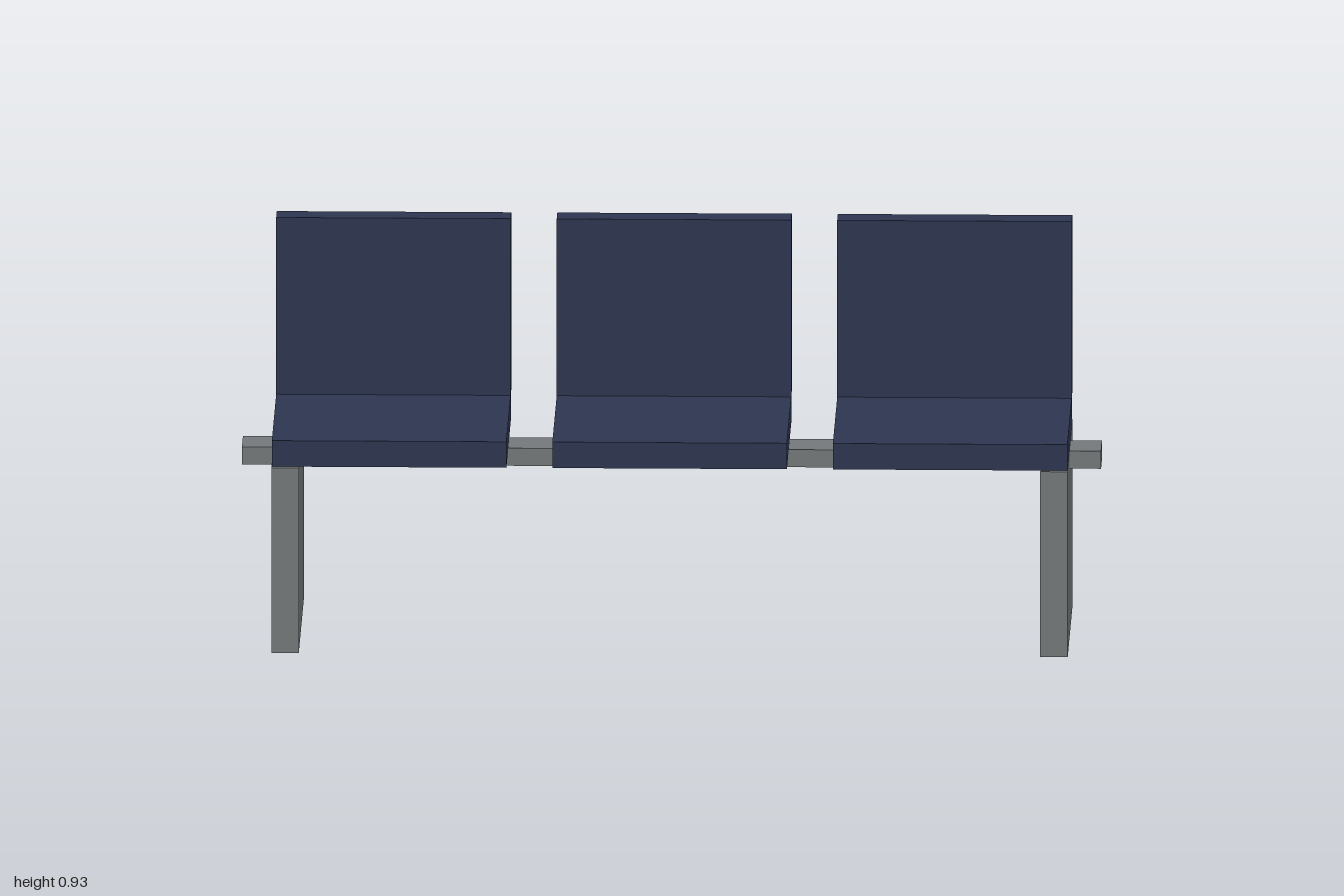
import * as THREE from 'three';

// Box shell between two corners, left open underneath
function shell(name, material, x, y, z) {
  const geo = new THREE.BoxGeometry(x[1] - x[0], y[1] - y[0], z[1] - z[0]);
  const index = Array.from(geo.index.array);
  index.splice(18, 6); // drop the bottom face
  geo.setIndex(index);
  geo.clearGroups();
  const mesh = new THREE.Mesh(geo, material);
  mesh.name = name;
  mesh.position.set((x[0] + x[1]) / 2, (y[0] + y[1]) / 2, (z[0] + z[1]) / 2);
  return mesh;
}

export function createModel() {
  const model = new THREE.Group();
  model.name = 'threeSeatBench';

  const upholstery = new THREE.MeshStandardMaterial({ color: 0x2d3650, side: THREE.DoubleSide });
  upholstery.name = 'navyUpholstery';
  const metal = new THREE.MeshStandardMaterial({ color: 0x737779, side: THREE.DoubleSide });
  metal.name = 'greyMetal';

  // Support beam running through both legs
  model.add(shell('beam', metal, [-1, 1], [0.4, 0.442], [-0.048, 0.059]));

  // Slab legs
  model.add(shell('rightLeg', metal, [-0.927, -0.863], [0, 0.443], [-0.257, 0.27]));
  model.add(shell('leftLeg', metal, [0.863, 0.927], [0, 0.443], [-0.257, 0.27]));

  // Three seats, each a cushion and a backrest
  ['right', 'middle', 'left'].forEach((side, i) => {
    const cx = (i - 1) * 0.653;
    const x = [cx - 0.273, cx + 0.273];
    const seat = new THREE.Group();
    seat.name = side + 'Seat';
    seat.add(shell('cushion', upholstery, x, [0.443, 0.505], [-0.226, 0.258]));
    seat.add(shell('backrest', upholstery, x, [0.505, 0.928], [-0.268, -0.204]));
    model.add(seat);
  });

  return model;
}
